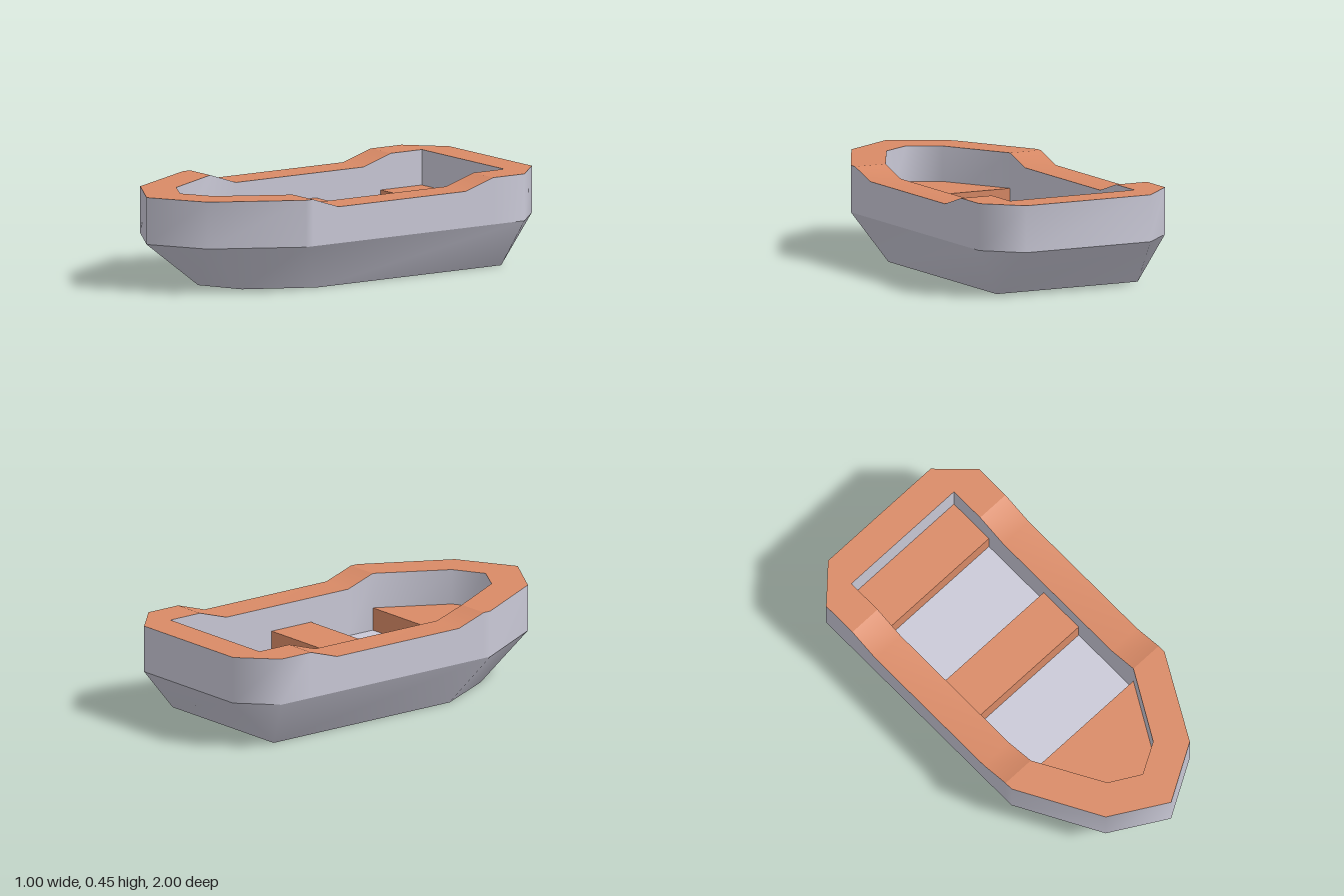
import * as THREE from 'three';
import { mergeVertices, toCreasedNormals } from 'three/addons/utils/BufferGeometryUtils.js';

const KNEE = 0.225, FLOOR = 0.17, SEAT_TOP = 0.28;

// Half outlines as [x, z], from the bow round the left side to the stern
const OUTER = [[0, 1], [0.275, 0.84], [0.5, 0.43], [0.5, 0.39], [0.5, 0.24], [0.5, -0.5], [0.5, -0.66], [0.5, -0.84], [0.335, -1]];
const INNER = [[0, 0.805], [0.15, 0.72], [0.335, 0.39], [0.335, 0.39], [0.335, 0.24], [0.335, -0.5], [0.335, -0.66], [0.335, -0.84], [0.335, -0.84]];
const KEEL = [[0, 0.7], [0.215, 0.6], [0.38, 0.28], [0.38, -0.79], [0.38, -0.79]];

// The rim dips amidships
const rimHeight = (z) => {
  if (z >= 0.39 || z <= -0.66) return 0.45;
  if (z > 0.24) return 0.4 + 0.05 * (z - 0.24) / 0.15;
  if (z < -0.5) return 0.4 + 0.05 * (-0.5 - z) / 0.16;
  return 0.4;
};

// Mirrors a half outline into a full ring of 3D points
function ring(half, height) {
  const mirrored = half.slice(1).reverse().map(([x, z]) => [-x, z]);
  return [...half, ...mirrored].map(([x, z]) => new THREE.Vector3(x, height(z), z));
}

// Strip of faces between two rows of points
function band(a, b, closed) {
  const pos = [];
  const tri = (p, q, r) => {
    if (p.distanceTo(q) < 1e-6 || q.distanceTo(r) < 1e-6 || r.distanceTo(p) < 1e-6) return;
    for (const v of [p, q, r]) pos.push(v.x, v.y, v.z);
  };
  const n = a.length;
  for (let i = 0; i < (closed ? n : n - 1); i++) {
    const j = (i + 1) % n;
    tri(a[i], a[j], b[j]);
    tri(a[i], b[j], b[i]);
  }
  let geo = new THREE.BufferGeometry();
  geo.setAttribute('position', new THREE.Float32BufferAttribute(pos, 3));
  geo = mergeVertices(geo);
  geo.computeVertexNormals();
  return geo;
}

// Flat shape from a half outline
function outlineShape(half, zSign) {
  const mirrored = half.slice(1).reverse().map(([x, z]) => [-x, z]);
  return new THREE.Shape([...half, ...mirrored].map(([x, z]) => new THREE.Vector2(x, z * zSign)));
}

export function createModel() {
  const boat = new THREE.Group();
  boat.name = 'rowingBoat';
  const hullGrey = new THREE.MeshStandardMaterial({ color: 0xcac9d7 });
  hullGrey.name = 'hullGrey';
  const wood = new THREE.MeshStandardMaterial({ color: 0xd98a66 });
  wood.name = 'wood';

  const add = (name, geo, mat) => {
    const mesh = new THREE.Mesh(geo, mat);
    mesh.name = name;
    boat.add(mesh);
    return mesh;
  };

  // Hull: upright upper sides, tapering lower sides and a flat bottom
  const rimOuter = ring(OUTER, rimHeight);
  const rimInner = ring(INNER, rimHeight);
  add('upperHull', band(ring(OUTER, () => KNEE), rimOuter, true), hullGrey);
  const corners = [0, 1, 2, 7, 8].map((i) => OUTER[i]);
  add('lowerHull', band(ring(KEEL, () => 0), ring(corners, () => KNEE), true), hullGrey);
  const bottom = new THREE.ShapeGeometry(outlineShape(KEEL.slice(0, 4), 1));
  add('bottom', bottom.rotateX(Math.PI / 2), hullGrey);

  // Inside walls and floor
  const walls = band(rimInner, ring(INNER, () => FLOOR), true);
  add('innerWalls', toCreasedNormals(walls, Math.PI / 3), hullGrey);
  const floorOutline = [0, 1, 2, 7].map((i) => INNER[i]);
  const floor = new THREE.ShapeGeometry(outlineShape(floorOutline, -1));
  add('floor', floor.rotateX(-Math.PI / 2), hullGrey).position.y = FLOOR;

  // Gunwale: flat bow and stern, smoothly dipping sides
  const pieces = {
    bowGunwale: (r) => [...r.slice(14), ...r.slice(0, 4)],
    leftGunwale: (r) => r.slice(3, 7),
    sternGunwale: (r) => r.slice(6, 12),
    rightGunwale: (r) => r.slice(11, 15),
  };
  for (const [name, pick] of Object.entries(pieces)) {
    add(name, band(pick(rimOuter), pick(rimInner), false), wood);
  }

  // Seats
  const seatHeight = SEAT_TOP - FLOOR;
  for (const [name, z] of [['middleSeat', -0.105], ['sternSeat', -0.72]]) {
    add(name, new THREE.BoxGeometry(0.67, seatHeight, 0.24), wood).position.set(0, FLOOR + seatHeight / 2, z);
  }
  const bowSeat = new THREE.ExtrudeGeometry(outlineShape(INNER.slice(0, 3), -1), { depth: seatHeight, bevelEnabled: false });
  add('bowSeat', bowSeat.rotateX(-Math.PI / 2), wood).position.y = FLOOR;

  return boat;
}
